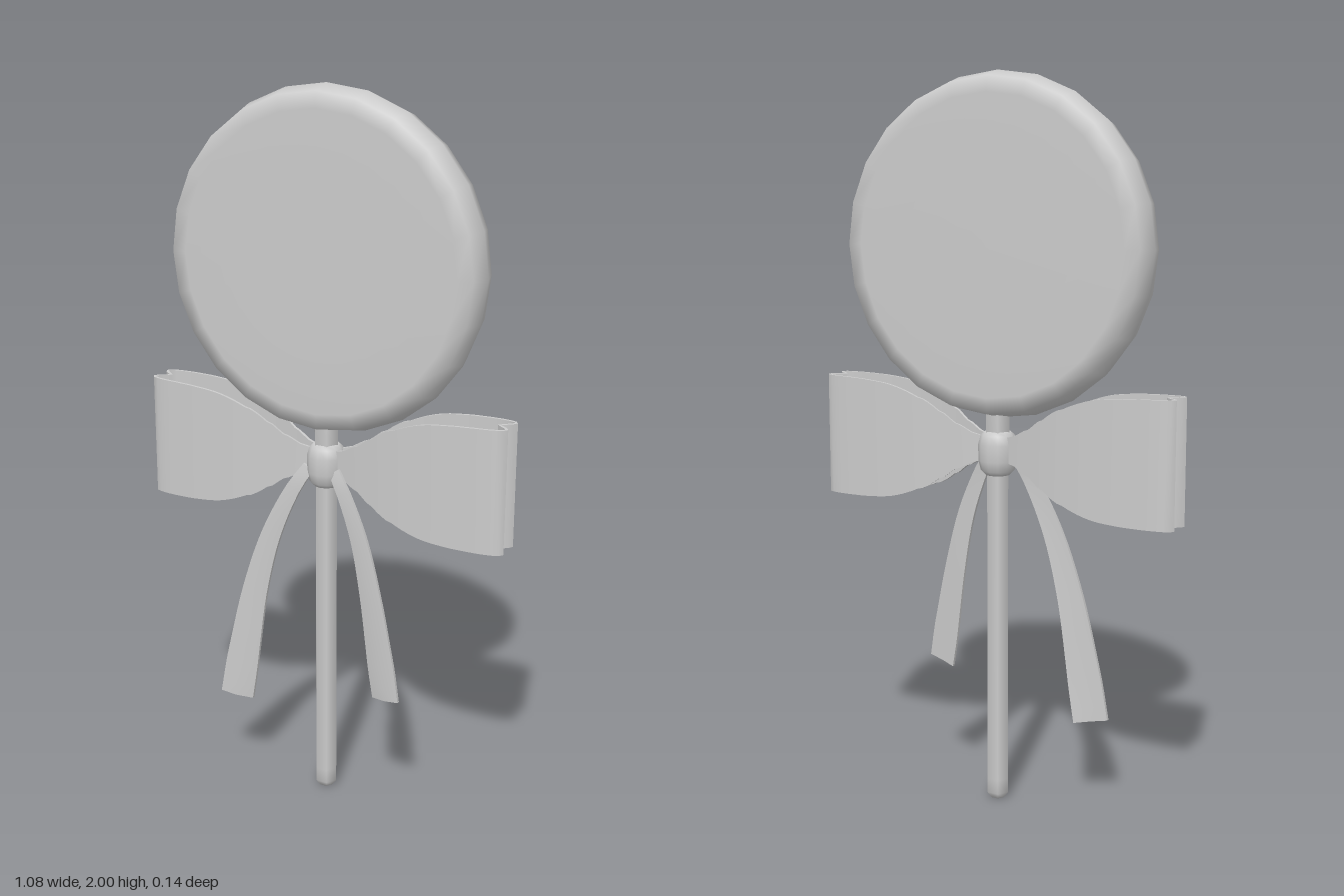
import * as THREE from 'three';
import { toCreasedNormals } from 'three/addons/utils/BufferGeometryUtils.js';

const ZC = -0.006; // depth centre of candy, stick and bow

const material = new THREE.MeshStandardMaterial({ color: 0xcccccc });
const doubleSided = new THREE.MeshStandardMaterial({ color: 0xcccccc, side: THREE.DoubleSide });

function addMesh(parent, name, geometry, mat = material) {
  const mesh = new THREE.Mesh(geometry, mat);
  mesh.name = name;
  parent.add(mesh);
  return mesh;
}

// Solid skin through a row of equal-sized closed cross-sections, capped at both ends
function loft(rings) {
  const n = rings[0].length;
  const index = [];
  for (let i = 0; i < rings.length - 1; i++) {
    for (let j = 0; j < n; j++) {
      const k = (j + 1) % n;
      const a = i * n + j, b = i * n + k, c = a + n, d = b + n;
      index.push(a, c, b, b, c, d);
    }
  }
  const last = (rings.length - 1) * n;
  for (let j = 1; j < n - 1; j++) {
    index.push(0, j, j + 1, last, last + j + 1, last + j);
  }
  const geometry = new THREE.BufferGeometry();
  geometry.setAttribute('position', new THREE.Float32BufferAttribute(rings.flat(2), 3));
  geometry.setIndex(index);
  return toCreasedNormals(geometry, 0.9);
}

const lathe = (points, segments) =>
  new THREE.LatheGeometry(points.map(([r, y]) => new THREE.Vector2(r, y)), segments);

// Ribbon loop: a closed path seen from above, taller towards its pinched outer end
function bowLoop(side) {
  const half = [[0.02, 0.016], [0.1, 0.034], [0.2, 0.051], [0.32, 0.06], [0.44, 0.059],
    [0.51, 0.052], [0.535, 0.041], [0.538, 0.029], [0.522, 0.012]];
  const path = [...half, [0.505, 0], ...half.map(([x, z]) => [x, -z]).reverse()];
  const curve = new THREE.CatmullRomCurve3(path.map(([x, z]) => new THREE.Vector3(x, 0, z)));
  const outline = new THREE.SplineCurve([[0.02, 0.03], [0.09, 0.05], [0.2, 0.116], [0.3, 0.154],
    [0.4, 0.166], [0.54, 0.169]].map(([x, h]) => new THREE.Vector2(x, h)));
  const samples = outline.getPoints(60);
  const heightAt = (x) => (samples.find((p) => p.x >= x) ?? samples[60]).y;
  const rings = [];
  for (let i = 0; i <= 72; i++) {
    const p = curve.getPointAt(i / 72);
    const t = curve.getTangentAt(i / 72);
    const h = heightAt(p.x);
    const mid = 1 + 0.005 * p.x / 0.54;
    const nx = t.z * 0.008, nz = -t.x * 0.008; // ribbon thickness, inwards
    const at = (s, y) => [side * (p.x + nx * s), y, ZC + p.z + nz * s];
    rings.push([at(0, mid + h), at(1, mid + h), at(1, mid - h), at(0, mid - h)]);
  }
  return loft(rings);
}

// Hanging ribbon end: widens downwards, outer edge turned forwards
function tail(points) {
  const curve = new THREE.CatmullRomCurve3(points.map(([x, y]) => new THREE.Vector3(x, y, 0)));
  const side = Math.sign(points[0][0]);
  const rings = [];
  for (let i = 0; i <= 20; i++) {
    const s = i / 20;
    const p = curve.getPointAt(s);
    const t = curve.getTangentAt(s);
    const w = 0.017 + 0.029 * Math.min(1, s * 1.15);
    const out = new THREE.Vector2(-t.y * side, t.x * side).multiplyScalar(w);
    const outward = Math.sign(out.x) === side ? 1 : -1;
    const z = 0.025 + 0.033 * Math.sqrt(s);
    const at = (u, dz) => [p.x + out.x * u * outward, p.y + out.y * u * outward, z + dz];
    const lean = 0.016 * s;
    rings.push([
      at(1, lean * 0.6), at(0, 0.003 * s), at(-1, -lean),
      at(-1, -lean - 0.009), at(0, -0.009), at(1, lean * 0.6 - 0.009),
    ]);
  }
  return loft(rings);
}

export function createModel() {
  const model = new THREE.Group();
  model.name = 'lollipop';

  // Flat round candy with a bevelled rim
  const candy = addMesh(model, 'candy', lathe(
    [[0, -0.062], [0.25, -0.062], [0.4, -0.061], [0.442, -0.057], [0.458, 0],
      [0.442, 0.057], [0.4, 0.061], [0.25, 0.062], [0, 0.062]], 24));
  candy.rotation.x = Math.PI / 2;
  candy.position.set(0, 1.543, ZC);

  // Six-sided stick with a chamfered foot
  const stick = addMesh(model, 'stick', lathe(
    [[0, 0], [0.02, 0.002], [0.033, 0.02], [0.033, 0.06], [0.033, 1.0], [0.036, 1.04], [0.036, 1.13]], 6));
  stick.rotation.y = Math.PI / 6;
  stick.position.z = ZC;

  // Bow
  const bow = new THREE.Group();
  bow.name = 'bow';
  model.add(bow);
  const knot = addMesh(bow, 'knot', lathe(
    [[0, -0.06], [0.034, -0.06], [0.046, -0.048], [0.053, -0.02], [0.053, 0.025],
      [0.046, 0.05], [0.034, 0.06], [0, 0.06]], 12));
  knot.position.set(0, 0.988, ZC);
  addMesh(bow, 'leftLoop', bowLoop(1), doubleSided);
  addMesh(bow, 'rightLoop', bowLoop(-1), doubleSided);
  addMesh(bow, 'leftTail', tail(
    [[0.04, 0.98], [0.075, 0.92], [0.125, 0.8], [0.165, 0.64], [0.193, 0.49], [0.217, 0.352]]), doubleSided);
  addMesh(bow, 'rightTail', tail(
    [[-0.04, 0.98], [-0.085, 0.91], [-0.15, 0.77], [-0.2, 0.6], [-0.235, 0.42], [-0.263, 0.253]]), doubleSided);

  return model;
}
